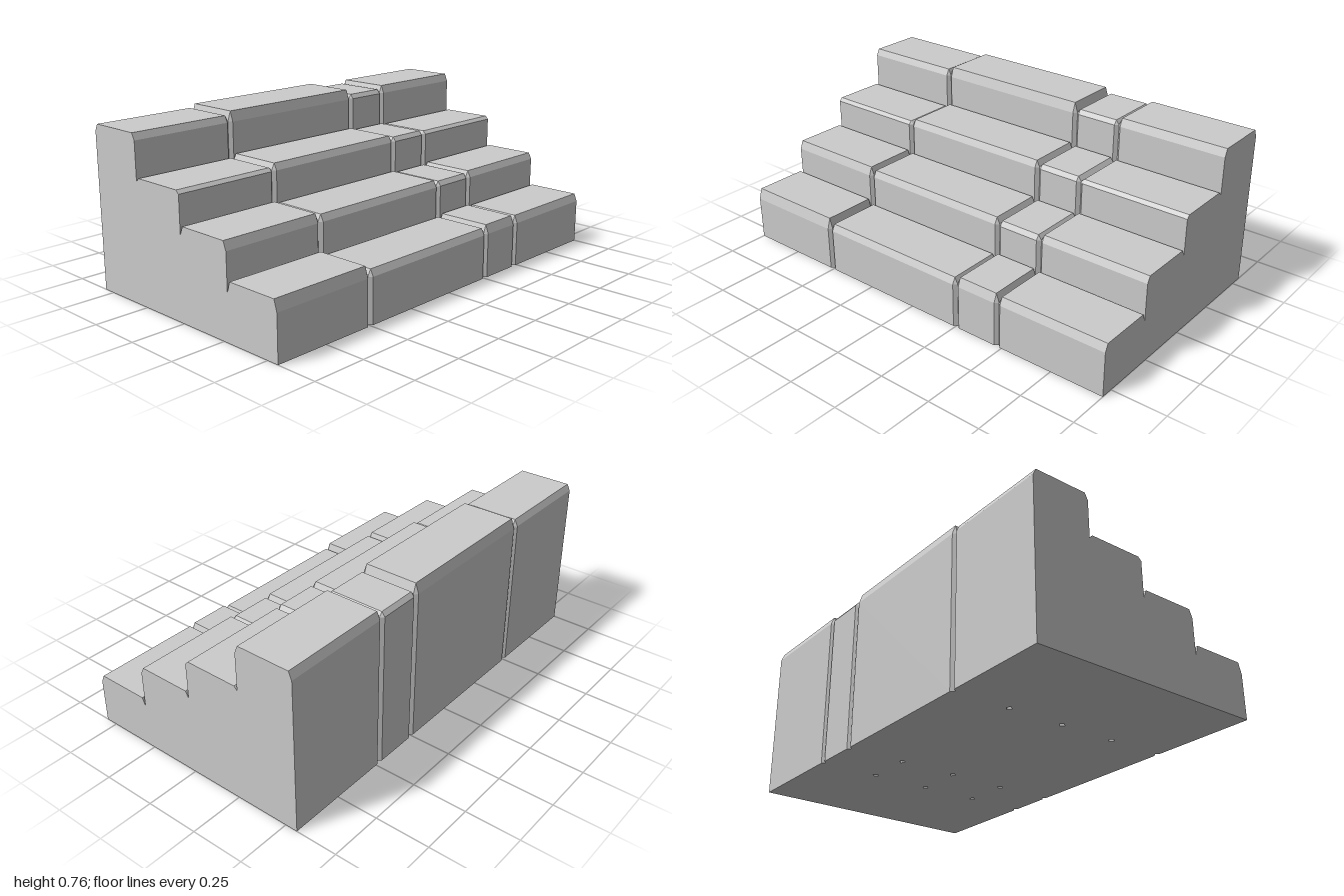
import * as THREE from 'three';
import { ConvexGeometry } from 'three/addons/geometries/ConvexGeometry.js';

const CHAMFER = 0.015;
const xEdges = [-1, -0.503, 0.255, 0.477, 1];
const zEdges = [0.557, 0.2785, 0, -0.2785, -0.557];
const shoulders = [0.205, 0.373, 0.54, 0.71]; // where the top chamfer starts, per step
const tops = [ // stone heights: step by step, then column by column
  [0.255, 0.235, 0.245, 0.24],
  [0.412, 0.403, 0.395, 0.403],
  [0.555, 0.57, 0.56, 0.555],
  [0.74, 0.756, 0.73, 0.746],
];

// Stone with cut vertical corners and a chamfered top; outer end faces stay square
function stoneGeometry(x0, x1, z0, z1, shoulder, top) {
  const points = [];
  for (const [x, sx] of [[x0, 1], [x1, -1]]) {
    const cx = Math.abs(x) === 1 ? 0 : CHAMFER * sx;
    for (const [z, sz] of [[z0, 1], [z1, -1]]) {
      const cz = CHAMFER * sz;
      for (const y of [0, shoulder]) {
        points.push(new THREE.Vector3(x + cx, y, z));
        if (cx) points.push(new THREE.Vector3(x, y, z + cz));
      }
      points.push(new THREE.Vector3(x + cx, top, z + cz));
    }
  }
  return new ConvexGeometry(points);
}

export function createModel() {
  const model = new THREE.Group();
  model.name = 'stoneSteps';
  const material = new THREE.MeshStandardMaterial({ color: 0xcccccc, flatShading: true });

  for (let row = 0; row < 4; row++) {
    const step = new THREE.Group();
    step.name = `step${row + 1}`;
    for (let col = 0; col < 4; col++) {
      const stone = new THREE.Mesh(
        stoneGeometry(xEdges[col], xEdges[col + 1], zEdges[row + 1], zEdges[row], shoulders[row], tops[row][col]),
        material
      );
      stone.name = `stone${col + 1}`;
      step.add(stone);
    }
    model.add(step);
  }
  return model;
}
